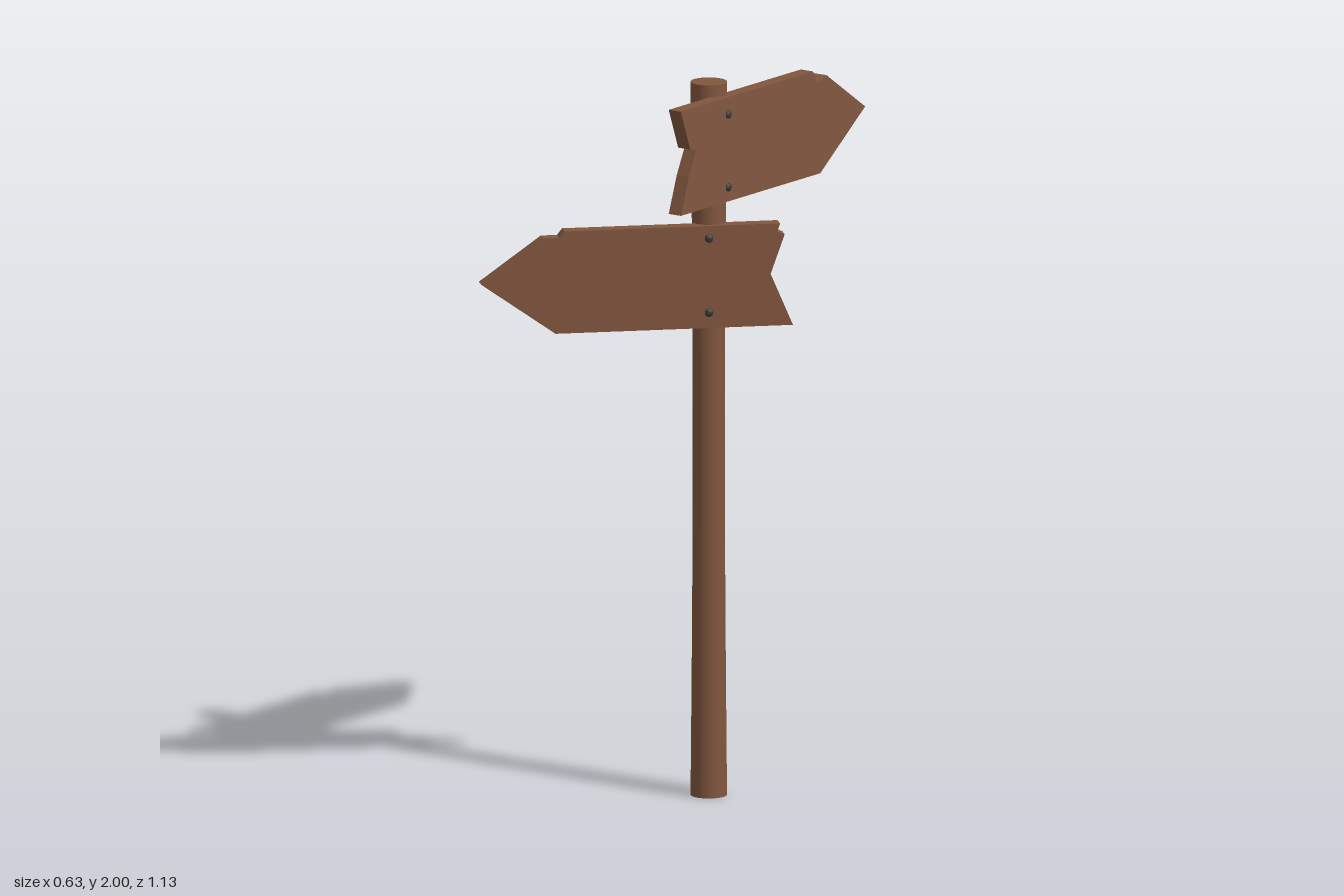
import * as THREE from 'three';

const wood = new THREE.MeshStandardMaterial({ color: 0x82573f });
wood.name = 'brown wood';
const iron = new THREE.MeshStandardMaterial({ color: 0x3c3a3a });
iron.name = 'dark iron';

const THICK = 0.041;

// Plank cut from an outline, with domed nails on its front face
function makeSign(name, outline, nails) {
  const sign = new THREE.Group();
  sign.name = name;
  const shape = new THREE.Shape(outline.map(([x, y]) => new THREE.Vector2(x, y)));
  const geo = new THREE.ExtrudeGeometry(shape, { depth: THICK, bevelEnabled: false });
  geo.translate(0, 0, -THICK / 2);
  const board = new THREE.Mesh(geo, wood);
  board.name = name + 'Board';
  sign.add(board);
  for (const [x, y] of nails) {
    const dome = new THREE.SphereGeometry(0.012, 12, 5, 0, Math.PI * 2, 0, Math.PI / 2);
    dome.scale(1, 0.65, 1).rotateX(Math.PI / 2);
    const nail = new THREE.Mesh(dome, iron);
    nail.name = name + 'Nail';
    nail.position.set(x, y, THICK / 2);
    sign.add(nail);
  }
  return sign;
}

export function createModel() {
  const model = new THREE.Group();
  model.name = 'signpost';

  // Round post, slightly narrower in the middle
  const postGeo = new THREE.CylinderGeometry(0.05, 0.05, 2, 32, 10);
  postGeo.translate(0, 1, 0);
  const p = postGeo.attributes.position;
  for (let i = 0; i < p.count; i++) {
    const k = 1 - 0.12 * Math.sin((Math.PI * p.getY(i)) / 2);
    p.setX(i, p.getX(i) * k);
    p.setZ(i, p.getZ(i) * k);
  }
  const post = new THREE.Mesh(postGeo, wood);
  post.name = 'post';
  post.position.set(0.117, 0, 0.066);
  model.add(post);

  // Upper sign, pointing to the back
  const upper = makeSign('upperSign', [
    [-0.294, 1.674], [0.357, 1.674], [0.567, 1.823], [0.386, 1.944], [0.344, 1.928],
    [0.323, 1.966], [-0.294, 1.966], [-0.25, 1.852], [-0.222, 1.844], [-0.257, 1.775],
  ], [[-0.072, 1.918], [-0.072, 1.714]]);
  upper.position.x = 0.167;
  upper.rotation.y = Math.PI / 2;
  model.add(upper);

  // Lower sign, pointing diagonally to the front
  const lower = makeSign('lowerSign', [
    [0, 1.467], [0.206, 1.322], [0.865, 1.322], [0.803, 1.467], [0.842, 1.577],
    [0.822, 1.584], [0.829, 1.608], [0.231, 1.608], [0.217, 1.59], [0.172, 1.59],
  ], [[0.632, 1.573], [0.632, 1.365]]);
  lower.position.set(-0.304, 0, 0.5515);
  lower.rotation.y = 0.796;
  model.add(lower);

  return model;
}
